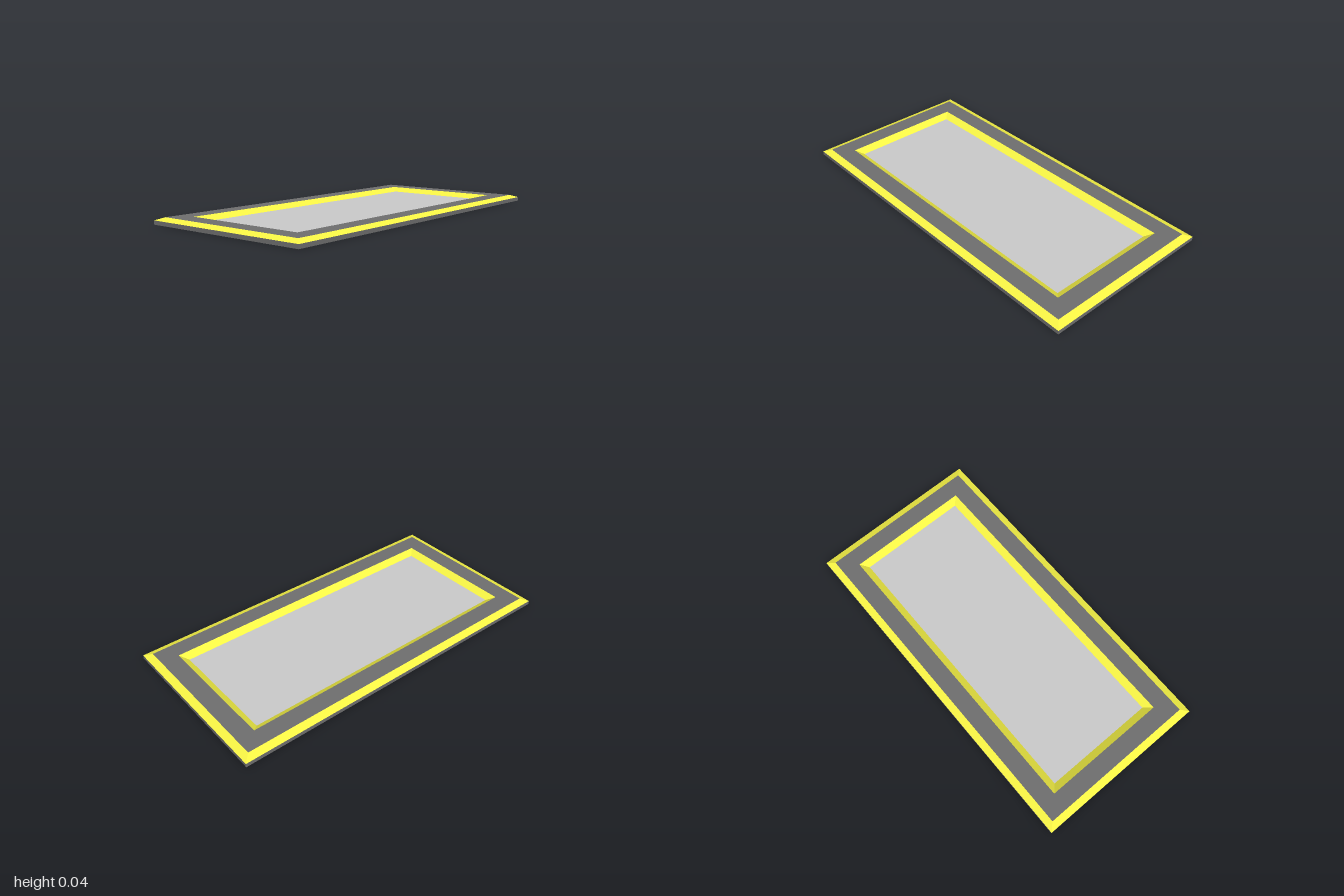
import * as THREE from 'three';

// Corners of a centred rectangle, counter-clockwise seen from above
const corners = ({ x, z, y }) => [[x, y, z], [x, y, -z], [-x, y, -z], [-x, y, z]];

// Four mitred strips joining an outer (or lower) rectangle to an inner (or upper) one
function frame(name, outer, inner, material) {
  const a = corners(outer), b = corners(inner), points = [];
  for (let i = 0; i < 4; i++) {
    const j = (i + 1) % 4;
    points.push(...a[i], ...a[j], ...b[j], ...a[i], ...b[j], ...b[i]);
  }
  const geometry = new THREE.BufferGeometry();
  geometry.setAttribute('position', new THREE.Float32BufferAttribute(points, 3));
  geometry.computeVertexNormals();
  const mesh = new THREE.Mesh(geometry, material);
  mesh.name = name;
  return mesh;
}

// Flat horizontal panel filling a rectangle, facing up or down
function panel(name, rect, material, up = true) {
  const geometry = new THREE.PlaneGeometry(rect.x * 2, rect.z * 2);
  geometry.rotateX(up ? -Math.PI / 2 : Math.PI / 2).translate(0, rect.y, 0);
  const mesh = new THREE.Mesh(geometry, material);
  mesh.name = name;
  return mesh;
}

export function createModel() {
  const dark = new THREE.MeshStandardMaterial({ color: 0x707070 });
  const yellow = new THREE.MeshStandardMaterial({ color: 0xf8f545 });
  const grey = new THREE.MeshStandardMaterial({ color: 0xcccccc });

  // Cross-section rectangles as half sizes, from the base up and inwards
  const base = { x: 0.5, z: 1, y: 0 };
  const edge = { x: 0.5, z: 1, y: 0.022 };
  const rimOuter = { x: 0.46, z: 0.96, y: 0.037 };
  const rimInner = { x: 0.36, z: 0.86, y: 0.037 };
  const floor = { x: 0.32, z: 0.82, y: 0.012 };

  const model = new THREE.Group();
  model.name = 'framedPanel';
  model.add(
    panel('underside', base, dark, false),
    frame('sideWalls', base, edge, dark),
    frame('outerBevel', edge, rimOuter, yellow),
    frame('topRim', rimOuter, rimInner, dark),
    frame('innerBevel', rimInner, floor, yellow),
    panel('recessedPanel', floor, grey),
  );
  return model;
}
